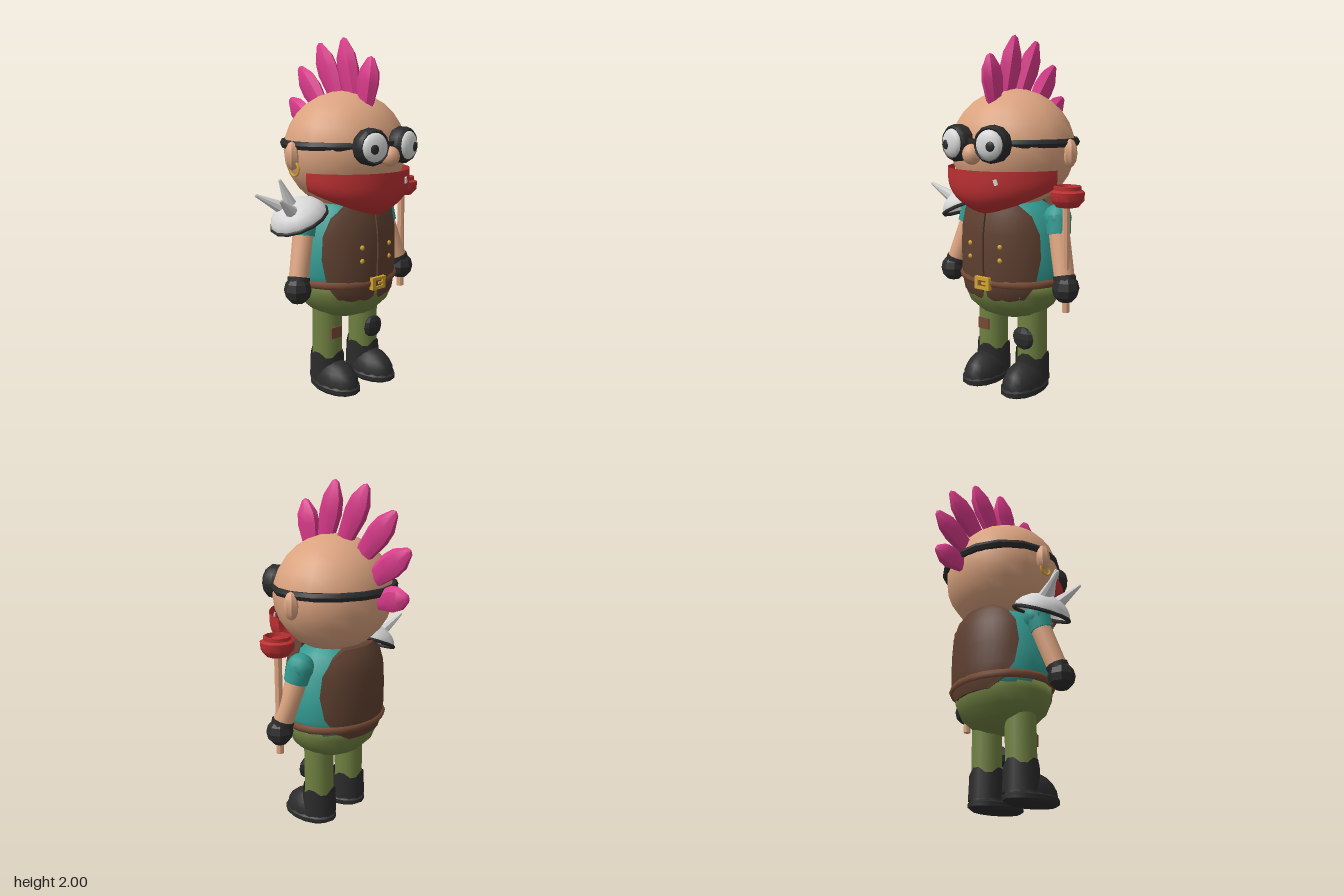
import * as THREE from 'three';
import { toCreasedNormals } from 'three/addons/utils/BufferGeometryUtils.js';

const mat = (name, color, side = THREE.FrontSide) => {
  const m = new THREE.MeshStandardMaterial({ color, side });
  m.name = name;
  return m;
};

export function createModel() {
  const M = {
    skin: mat('skin', 0xdba37f),
    pink: mat('hair pink', 0xd93a8a),
    black: mat('black rubber', 0x2b2b2b, THREE.DoubleSide),
    red: mat('red', 0xbc3032, THREE.DoubleSide),
    white: mat('pale metal', 0xd8d8d8, THREE.DoubleSide),
    vest: mat('vest brown', 0x5f4030),
    belt: mat('belt brown', 0x774a35),
    teal: mat('shirt teal', 0x339a91),
    green: mat('trouser green', 0x6f8041),
    gold: mat('gold', 0xd2a42e),
  };
  const root = new THREE.Group();
  root.name = 'punkFigure';
  const body = new THREE.Group(); // local x = 0 is the body's mirror plane
  body.name = 'figure';
  body.position.x = 0.025;
  root.add(body);

  const add = (name, geo, m, pos = [0, 0, 0], parent = body) => {
    const mesh = new THREE.Mesh(geo, m);
    mesh.name = name;
    mesh.position.set(...pos);
    parent.add(mesh);
    return mesh;
  };
  const ball = (rx, ry, rz, w = 14, h = 10) => new THREE.SphereGeometry(1, w, h).scale(rx, ry, rz);
  const flat = (geo) => toCreasedNormals(geo, 0.1);
  const crease = (geo) => toCreasedNormals(geo, 0.7);
  const lathe = (pts, n) => new THREE.LatheGeometry(pts.map((p) => new THREE.Vector2(...p)), n);
  // Turn a geometry whose axis runs from y = 0 upwards so it points from a to b
  const aim = (name, geo, m, a, b) => {
    const mesh = add(name, geo, m, a);
    const d = new THREE.Vector3(...b).sub(new THREE.Vector3(...a)).normalize();
    mesh.quaternion.setFromUnitVectors(new THREE.Vector3(0, 1, 0), d);
    return mesh;
  };
  const limb = (name, a, b, ra, rb, m, n = 10) => {
    const len = new THREE.Vector3(...a).distanceTo(new THREE.Vector3(...b));
    return aim(name, crease(new THREE.CylinderGeometry(rb, ra, len, n).translate(0, len / 2, 0)), m, a, b);
  };
  const ring = (rx, rz, t, n, h = 1) =>
    new THREE.TorusGeometry(rx, t, 6, n).rotateX(Math.PI / 2).scale(1, h, rz / rx);

  // Thick curved panel from rows of [y, radius, start angle, end angle], lowest row first
  const panel = (rows, n = 10, thick = 0.06) => {
    const pos = [], idx = [], L = 2 * n + 2;
    for (const [y, r, a0, a1] of rows) {
      for (let i = 0; i < L; i++) {
        const outer = i <= n;
        const t = (outer ? i : L - 1 - i) / n;
        const a = THREE.MathUtils.degToRad(a0 + (a1 - a0) * t);
        const q = outer ? r : r - thick;
        pos.push(Math.sin(a) * q * 1.08, y, Math.cos(a) * q * 0.95);
      }
    }
    const quad = (a, b, c, d) => idx.push(a, b, c, a, c, d);
    for (let j = 0; j < rows.length - 1; j++) {
      for (let i = 0; i < L; i++) {
        const k = (i + 1) % L;
        quad(j * L + i, j * L + k, (j + 1) * L + k, (j + 1) * L + i);
      }
    }
    const top = (rows.length - 1) * L;
    for (let i = 0; i < n; i++) {
      quad(top + i, top + i + 1, top + L - 2 - i, top + L - 1 - i);
      quad(i + 1, i, L - 1 - i, L - 2 - i);
    }
    const g = new THREE.BufferGeometry();
    g.setAttribute('position', new THREE.Float32BufferAttribute(pos, 3));
    g.setIndex(idx);
    return crease(g);
  };

  // Head, nose and goggle strap
  add('head', ball(0.362, 0.33, 0.33, 18, 14), M.skin, [0, 1.38, 0.055]);
  add('nose', ball(0.052, 0.055, 0.05, 10, 8), M.skin, [0, 1.365, 0.412]);
  add('goggleStrap', crease(ring(0.356, 0.327, 0.022, 16, 1.15)), M.black, [0, 1.42, 0.042]);
  add('goggleBridge', new THREE.BoxGeometry(0.09, 0.04, 0.04), M.black, [0, 1.425, 0.39]);
  add('earring', new THREE.TorusGeometry(0.036, 0.007, 6, 14).rotateY(Math.PI / 2), M.gold, [-0.37, 1.295, 0.06]);

  // Mohawk, front to back: [base z, base y, tip z, tip y]
  const hair = [
    [0.215, 1.61, 0.26, 1.89], [0.12, 1.65, 0.035, 2.0], [-0.01, 1.66, -0.175, 1.98],
    [-0.12, 1.58, -0.36, 1.85], [-0.2, 1.47, -0.455, 1.66], [-0.25, 1.37, -0.45, 1.41],
  ];
  for (const [z0, y0, z1, y1] of hair) {
    const len = Math.hypot(z1 - z0, y1 - y0);
    const g = lathe([[0, 0], [0.05, 0], [0.074, 0.5 * len], [0.066, 0.72 * len], [0.024, 0.96 * len], [0, len]], 7);
    aim('mohawkSpike', crease(g.scale(0.66, 1, 1)), M.pink, [0, y0, z0], [0, y1, z1]);
  }

  // Bandana: a sheet bent round the lower face, dropping to a point and tucked under
  const cloth = new THREE.PlaneGeometry(1, 1, 20, 8);
  const cp = cloth.attributes.position;
  for (let i = 0; i < cp.count; i++) {
    const s = cp.getX(i) * 2, v = 0.5 - cp.getY(i), e = 1 - Math.abs(s);
    const k = 1 - (0.05 + 0.23 * e) * v ** 4;
    const drop = 0.1 + 0.14 * (1 - Math.abs(s) ** 1.4);
    cp.setXYZ(i, Math.sin(s * 1.3) * 0.374 * k, 1.28 - v * drop, 0.045 + Math.cos(s * 1.3) * 0.375 * k);
  }
  cloth.computeVertexNormals();
  add('bandana', cloth, M.red);
  add('bandanaPin', new THREE.BoxGeometry(0.02, 0.032, 0.012), M.white, [0.142, 1.225, 0.393]).rotation.set(0, 0.38, 0.3);

  // Torso, trousers seat and belt
  add('shirt', lathe([[0, 0.6], [0.29, 0.6], [0.315, 0.7], [0.312, 0.8], [0.285, 0.95], [0.22, 1.06], [0.12, 1.12], [0, 1.13]], 18)
    .scale(1, 1, 0.82), M.teal, [0, 0, 0.05]);
  add('trouserSeat', lathe([[0, 0.415], [0.1, 0.42], [0.2, 0.455], [0.265, 0.51], [0.297, 0.58], [0.3, 0.65], [0, 0.66]], 18)
    .scale(1, 1, 0.84), M.green, [0, 0, 0.06]);
  add('belt', ring(0.307, 0.262, 0.023, 22), M.belt, [0, 0.655, 0.05]);

  // Vest: two front panels and a back panel
  for (const s of [-1, 1]) {
    const rows = [
      [0.548, 0.255, 10, 36], [0.575, 0.275, 3, 46], [0.65, 0.287, 1, 57], [0.8, 0.29, 1, 63],
      [0.93, 0.287, 1, 62], [1.03, 0.27, 1, 54], [1.085, 0.25, 1, 40],
    ].map(([y, r, a, b]) => (s > 0 ? [y, r, a, b] : [y, r, -b, -a]));
    add('vestFront', panel(rows), M.vest, [0, 0, 0.05]);
    for (const y of [0.865, 0.79])
      add('vestButton', ball(0.014, 0.014, 0.012, 8, 6), M.gold, [s * 0.103, y, 0.31]);
  }
  const back = [
    [0.585, 0.262, 150, 210], [0.63, 0.28, 134, 226], [0.72, 0.289, 121, 239], [0.85, 0.29, 116, 244],
    [0.97, 0.284, 119, 241], [1.05, 0.262, 129, 231], [1.1, 0.225, 148, 212],
  ];
  add('vestBack', panel(back, 14), M.vest, [0, 0, 0.05]);

  // Buckle: gold frame with a prong over a leather centre
  const frame = new THREE.Shape([[-0.05, -0.035], [0.05, -0.035], [0.05, 0.035], [-0.05, 0.035]].map((p) => new THREE.Vector2(...p)));
  frame.holes.push(new THREE.Path([[-0.028, -0.017], [-0.028, 0.017], [0.028, 0.017], [0.028, -0.017]].map((p) => new THREE.Vector2(...p))));
  add('buckleFrame', new THREE.ExtrudeGeometry(frame, { depth: 0.03, bevelEnabled: false }), M.gold, [0, 0.655, 0.312]);
  add('bucklePlate', new THREE.BoxGeometry(0.07, 0.045, 0.02), M.belt, [0, 0.655, 0.322]);
  add('buckleProng', new THREE.BoxGeometry(0.035, 0.012, 0.012), M.gold, [0.015, 0.655, 0.337]);

  for (const s of [-1, 1]) {
    // Goggle with lens and pupil
    const goggle = new THREE.Group();
    goggle.name = 'goggle';
    goggle.position.set(s * 0.12, 1.42, 0.39);
    goggle.rotation.y = s * 0.2;
    body.add(goggle);
    add('goggleCup', crease(lathe([[0, -0.055], [0.085, -0.055], [0.099, -0.03], [0.099, 0.02], [0.085, 0.04], [0.07, 0.03]], 12)
      .rotateX(Math.PI / 2).scale(-1, 1, 1).rotateZ(0)), M.black, [0, 0, 0], goggle);
    add('lens', ball(0.077, 0.077, 0.034, 16, 10), M.white, [0, 0, 0.032], goggle);
    add('pupil', ball(0.026, 0.026, 0.009, 10, 8), M.black, [s * 0.018, -0.008, 0.062], goggle);

    // Ear
    add('ear', crease(ball(0.04, 0.078, 0.042, 8, 6)), M.skin, [s * 0.37, 1.365, 0.042]);

    // Sleeve, arm and glove
    const shoulder = [s * 0.3, 1.01, 0.05], hand = [s * 0.403, 0.645, 0.12];
    add('shoulderCap', ball(0.078, 0.078, 0.078, 10, 8), M.teal, shoulder);
    limb('sleeve', [s * 0.3, 1.02, 0.05], [s * 0.322, 0.925, 0.066], 0.076, 0.068, M.teal);
    limb('arm', [s * 0.305, 0.98, 0.054], hand, 0.06, 0.056, M.skin);
    add('glove', flat(ball(0.076, 0.08, 0.076, 8, 6)), M.black, hand);
    limb('gloveCuff', hand, [s * 0.385, 0.71, 0.108], 0.06, 0.064, M.black);

    // Trouser leg
    const x = s * 0.142, z = 0.06;
    add('trouserLeg', new THREE.CylinderGeometry(0.086, 0.086, 0.42, 16), M.green, [x, 0.34, z]);

    // Boot with a ragged top, rounded toe and sole
    const shaft = new THREE.CylinderGeometry(0.097, 0.102, 0.17, 16, 1, true);
    const sp = shaft.attributes.position;
    for (let i = 0; i < 17; i++) if ((i >> 1) % 2) sp.setY(i, sp.getY(i) - 0.03);
    add('bootShaft', shaft, M.black, [x, 0.145, z]);
    add('bootToe', new THREE.SphereGeometry(1, 14, 5, 0, Math.PI * 2, 0, Math.PI / 2).scale(0.108, 0.135, 0.168), M.black, [x, 0.045, 0.13]);
    add('bootSole', crease(lathe([[0, 0.005], [0.1, 0.008], [0.114, 0.022], [0.114, 0.045], [0.1, 0.06], [0, 0.06]], 14)
      .scale(1, 1, 1.56)), M.black, [x, 0, 0.13]);
  }

  // Knee patch and knee pad
  add('kneePatch', new THREE.BoxGeometry(0.075, 0.065, 0.012), M.belt, [-0.147, 0.347, 0.145]);
  add('kneePad', flat(ball(0.072, 0.066, 0.028, 8, 6)), M.black, [0.142, 0.318, 0.15]);

  // Plunger held in the left hand
  limb('plungerStick', [0.405, 0.515, 0.12], [0.4, 1.12, 0.12], 0.021, 0.021, M.skin, 8);
  add('plungerCup', crease(lathe([[0, 1.085], [0.06, 1.09], [0.091, 1.125], [0.094, 1.17], [0.076, 1.18], [0.076, 1.2],
    [0.066, 1.202], [0.06, 1.165], [0.03, 1.16], [0.028, 1.19], [0, 1.19]], 10)), M.red, [0.405, 0, 0.118]);

  // Spiked shoulder plate on the right
  const plate = new THREE.Group();
  plate.name = 'shoulderPlate';
  plate.position.set(-0.335, 1.02, 0.052);
  plate.rotation.z = 0.43;
  body.add(plate);
  add('plateDome', new THREE.SphereGeometry(0.163, 14, 5, 0, Math.PI * 2, 0, Math.PI / 2).scale(1, 0.68, 1), M.white, [0, 0, 0], plate);
  add('plateRim', ring(0.16, 0.16, 0.011, 14), M.black, [0, 0, 0], plate);
  const spikes = [
    [[-0.41, 1.08, 0.005], [-0.555, 1.16, -0.035]],
    [[-0.42, 1.07, 0.1], [-0.535, 1.15, 0.155]],
    [[-0.39, 1.1, 0.05], [-0.46, 1.24, 0.05]],
  ];
  for (const [a, b] of spikes) {
    limb('plateSpike', a, b, 0.038, 0.009, M.white, 8);
    add('spikeTip', ball(0.01, 0.01, 0.01, 6, 4), M.white, b);
  }
  return root;
}
